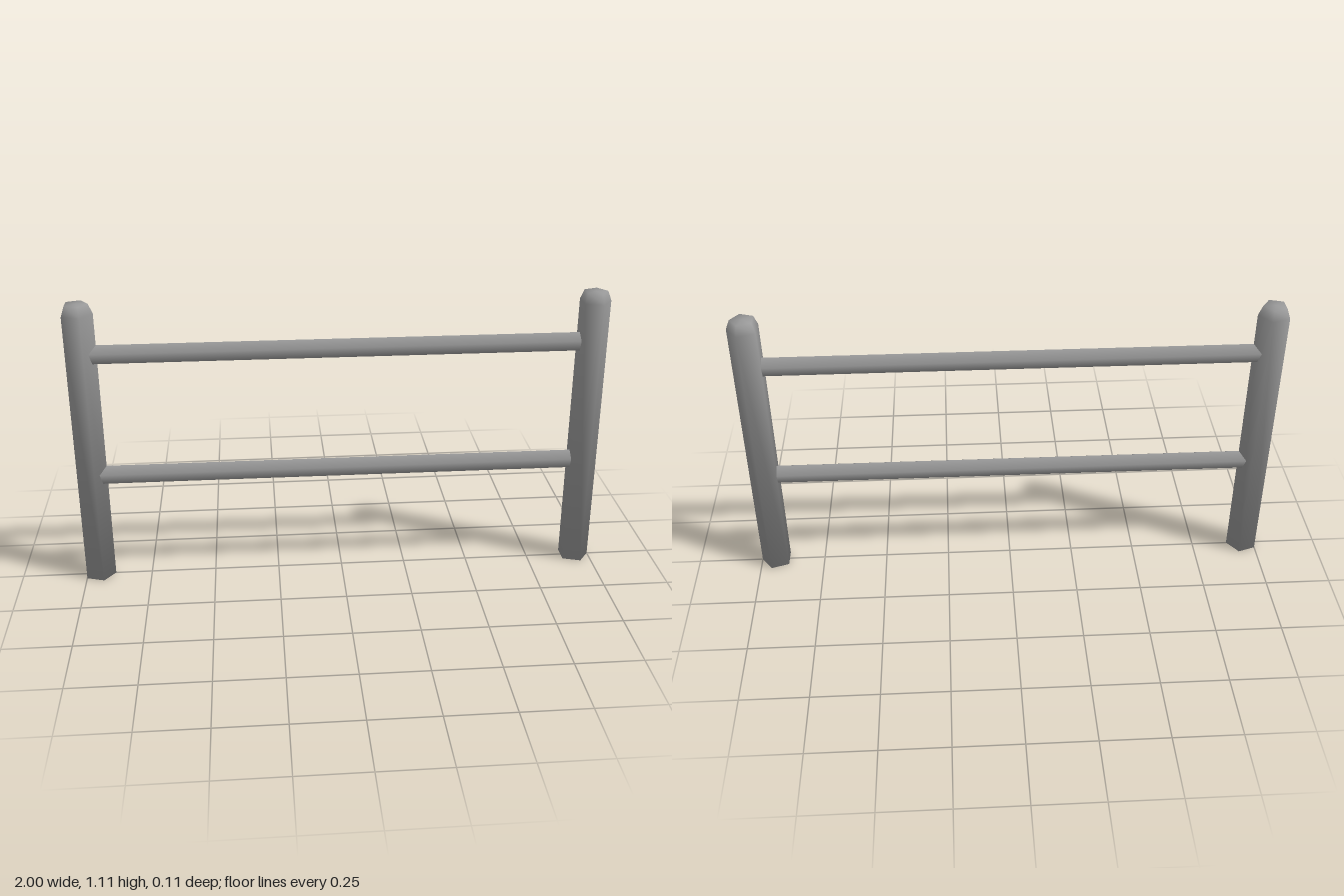
import * as THREE from 'three';

const material = new THREE.MeshStandardMaterial({ color: 0x999999 });

// Each ring of a post: radius, height, then the outward and upward parts of its normal
const rings = [
  [0, 0, 0, -1],
  [0.06, 0, 0.8, -0.6],
  [0.06, 1.07, 0.98, 0.2],
  [0.045, 1.107, 0.55, 0.83],
  [0, 1.107, 0, 1],
];

// Five-sided post with a bevelled top, one corner pointing to +x, softly shaded all over
function createPostGeometry() {
  const profile = rings.map(([r, y]) => new THREE.Vector2(r, y));
  const geometry = new THREE.LatheGeometry(profile, 5, Math.PI / 2);
  const normal = geometry.attributes.normal;
  for (let i = 0; i < normal.count; i++) {
    const [, , out, up] = rings[i % rings.length];
    const angle = Math.floor(i / rings.length) * Math.PI * 2 / 5;
    normal.setXYZ(i, out * Math.cos(angle), up, -out * Math.sin(angle));
  }
  return geometry;
}

export function createModel() {
  const fence = new THREE.Group();
  fence.name = 'fence';

  // Posts
  const postGeometry = createPostGeometry();
  for (const [name, x] of [['rightPost', -0.951], ['leftPost', 0.94]]) {
    const post = new THREE.Mesh(postGeometry, material);
    post.name = name;
    post.position.x = x;
    fence.add(post);
  }

  // Five-sided rails with a ridge on top, running into both posts
  const railGeometry = new THREE.CylinderGeometry(0.036, 0.036, 1.88, 5);
  railGeometry.rotateZ(Math.PI / 2).rotateX(-Math.PI / 2);
  for (const [name, y] of [['lowerRail', 0.431], ['upperRail', 0.914]]) {
    const rail = new THREE.Mesh(railGeometry, material);
    rail.name = name;
    rail.position.set(-0.005, y, 0);
    fence.add(rail);
  }

  return fence;
}
